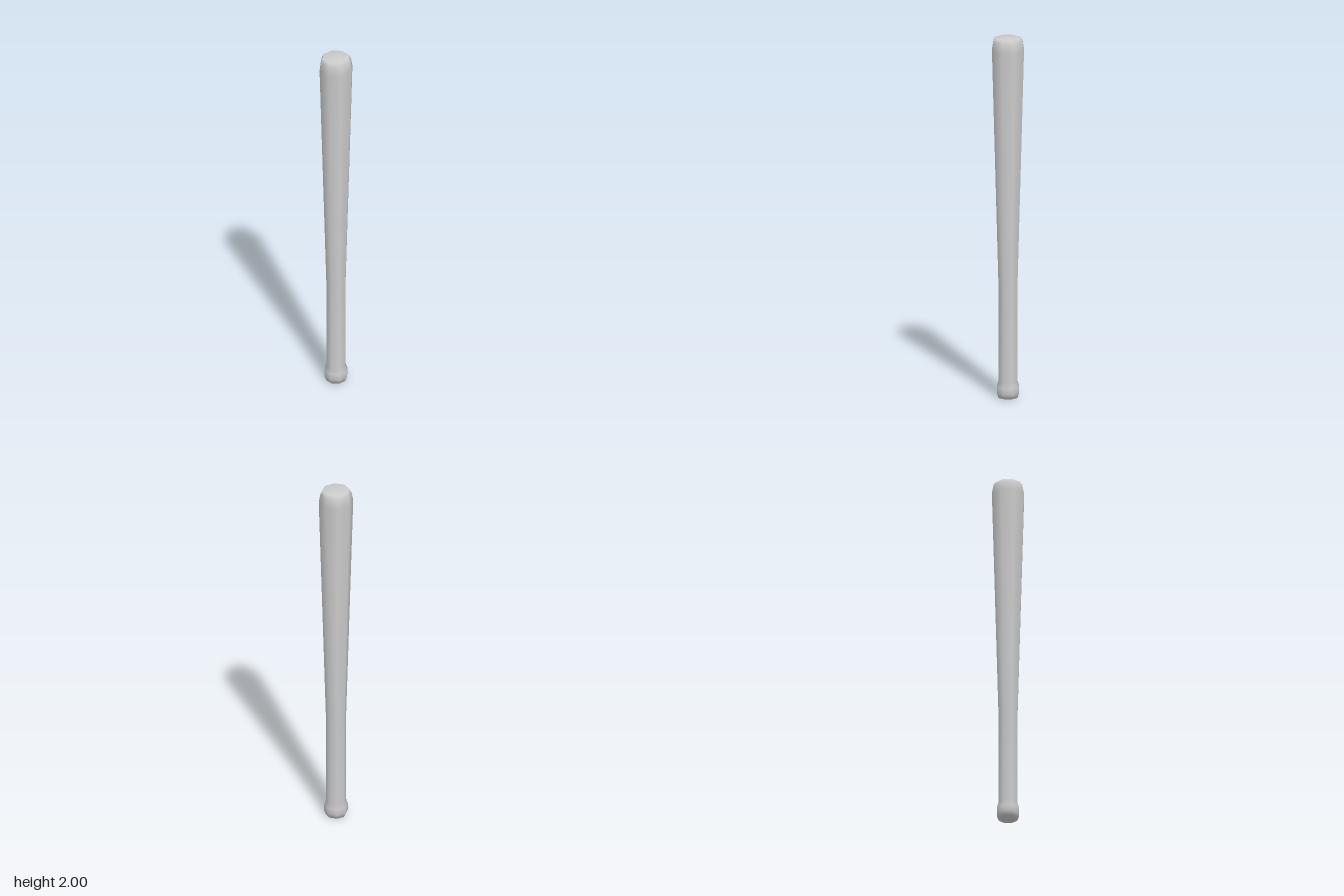
import * as THREE from 'three';

const SIDES = 8;

export function createModel() {
  const group = new THREE.Group();
  group.name = 'baseballBat';

  // Profile as [radius, height], from the base to the tip
  const profile = [
    // knob
    [0, 0], [0.054, 0], [0.065, 0.025], [0.065, 0.06], [0.055, 0.09],
    // handle
    [0.055, 0.6],
    // barrel and rounded tip
    [0.094, 1.93], [0.085, 1.98], [0.073, 2], [0, 2],
  ].map(([r, y]) => new THREE.Vector2(r, y));

  // One smooth eight-sided skin with corners on the x and z axes
  const bat = new THREE.Mesh(
    new THREE.LatheGeometry(profile, SIDES),
    new THREE.MeshStandardMaterial({ color: 0xcccccc })
  );
  bat.name = 'batBody';
  group.add(bat);

  return group;
}
